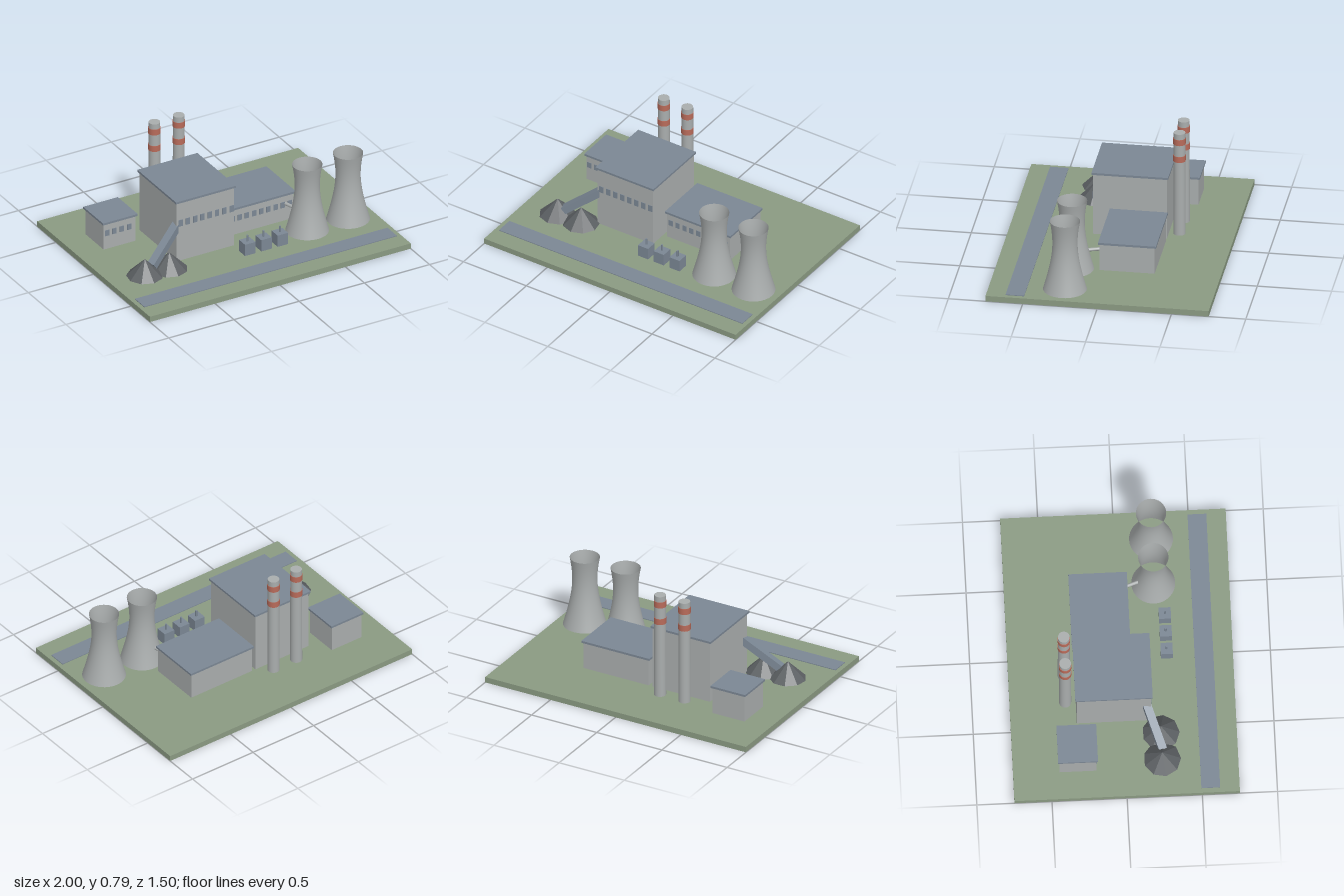
import * as THREE from 'three';

const mat = (name, color) => {
  const m = new THREE.MeshStandardMaterial({ color });
  m.name = name;
  return m;
};

export function createModel() {
  const grass = mat('grass', 0x8a9a82);
  const concrete = mat('concrete', 0xa9adad);
  const steel = mat('steel', 0x7b8794);
  const red = mat('warningRed', 0xb86b5a);
  const coal = mat('coal', 0x5c6063);
  coal.flatShading = true;
  const shell = mat('towerConcrete', 0xa9adad);
  shell.side = THREE.DoubleSide;

  const model = new THREE.Group();
  model.name = 'powerStation';
  const GROUND = 0.04;

  const add = (parent, name, geometry, material, x = 0, y = 0, z = 0) => {
    const mesh = new THREE.Mesh(geometry, material);
    mesh.name = name;
    mesh.position.set(x, y, z);
    parent.add(mesh);
    return mesh;
  };
  const group = (name) => {
    const g = new THREE.Group();
    g.name = name;
    model.add(g);
    return g;
  };
  // Box given by its extents
  const block = (parent, name, material, x0, x1, y0, y1, z0, z1) =>
    add(parent, name, new THREE.BoxGeometry(x1 - x0, y1 - y0, z1 - z0), material,
      (x0 + x1) / 2, (y0 + y1) / 2, (z0 + z1) / 2);
  // Stretches a mesh's local y axis between two points
  const aim = (mesh, a, b) => {
    mesh.position.copy(a).lerp(b, 0.5);
    mesh.quaternion.setFromUnitVectors(new THREE.Vector3(0, 1, 0), b.clone().sub(a).normalize());
  };

  // Ground slab and road
  block(model, 'ground', grass, -1, 1, 0, GROUND, -0.75, 0.75);
  block(model, 'road', steel, -0.968, 0.968, GROUND, 0.045, 0.495, 0.62);

  // Buildings: walls, overhanging flat roof, row of front windows
  const building = (name, x0, x1, z0, z1, top, windows) => {
    const g = group(name);
    block(g, 'walls', concrete, x0, x1, GROUND, top, z0, z1);
    block(g, 'roof', steel, x0 - 0.01, x1 + 0.01, top, top + 0.015, z0 - 0.01, z1 + 0.01);
    const { count, first, step, y, h } = windows;
    for (let i = 0; i < count; i++) {
      const x = first + i * step;
      block(g, 'window', steel, x - 0.016, x + 0.016, y, y + h, z1 - 0.002, z1 + 0.004);
    }
  };
  building('boilerHouse', -0.47, -0.03, -0.31, 0.185, 0.48,
    { count: 8, first: -0.44, step: 0.0557, y: 0.3, h: 0.048 });
  building('turbineHall', 0, 0.5, -0.31, 0.06, 0.23,
    { count: 9, first: 0.03, step: 0.055, y: 0.14, h: 0.042 });
  building('workshop', -0.81, -0.565, -0.44, -0.195, 0.23,
    { count: 4, first: -0.785, step: 0.0565, y: 0.14, h: 0.042 });

  // Chimneys with two painted bands
  for (const x of [-0.315, -0.128]) {
    const g = group('chimney');
    add(g, 'stack', new THREE.CylinderGeometry(0.039, 0.041, 0.746, 24), concrete, x, 0.413, -0.38);
    for (const y of [0.725, 0.6]) {
      add(g, 'band', new THREE.CylinderGeometry(0.042, 0.042, 0.043, 24), red, x, y, -0.38);
    }
  }

  // Open cooling towers, hyperbolic profile
  const profile = [];
  for (let i = 0; i <= 14; i++) {
    const y = GROUND + (i / 14) * 0.5;
    profile.push(new THREE.Vector2(0.084 * Math.hypot(1, (y - 0.38) / 0.239), y));
  }
  const towerGeometry = new THREE.LatheGeometry(profile, 32);
  for (const x of [0.497, 0.81]) add(model, 'coolingTower', towerGeometry, shell, x, 0, 0.245);

  // Pipes linking the halls and the first tower
  const pipe = (a, b) => {
    const geometry = new THREE.CylinderGeometry(0.012, 0.012, a.distanceTo(b), 10);
    aim(add(model, 'pipe', geometry, concrete), a, b);
  };
  pipe(new THREE.Vector3(-0.05, 0.166, -0.125), new THREE.Vector3(0.02, 0.166, -0.125));
  pipe(new THREE.Vector3(0.43, 0.166, 0.04), new THREE.Vector3(0.498, 0.166, 0.245));

  // Transformers with a bushing on top
  for (let i = 0; i < 3; i++) {
    const g = group('transformer');
    const x = i * 0.125;
    block(g, 'tank', steel, x - 0.04, x + 0.04, GROUND, 0.125, 0.27, 0.35);
    add(g, 'bushing', new THREE.CylinderGeometry(0.007, 0.007, 0.045, 8), steel, x, 0.1475, 0.31);
  }

  // Coal heaps
  for (const x of [-0.748, -0.562]) {
    add(model, 'coalHeap', new THREE.ConeGeometry(0.125, 0.125, 9), coal, x, GROUND + 0.0625, 0.245);
  }

  // Inclined conveyor from the heaps into the boiler house
  const low = new THREE.Vector3(-0.695, 0.1, 0.248);
  const high = new THREE.Vector3(-0.445, 0.3, 0.152);
  const run = high.clone().sub(low);
  const conveyor = add(model, 'conveyor', new THREE.BoxGeometry(0.055, 0.05, run.length()), steel);
  conveyor.position.copy(low).lerp(high, 0.5);
  conveyor.lookAt(high);

  return model;
}
